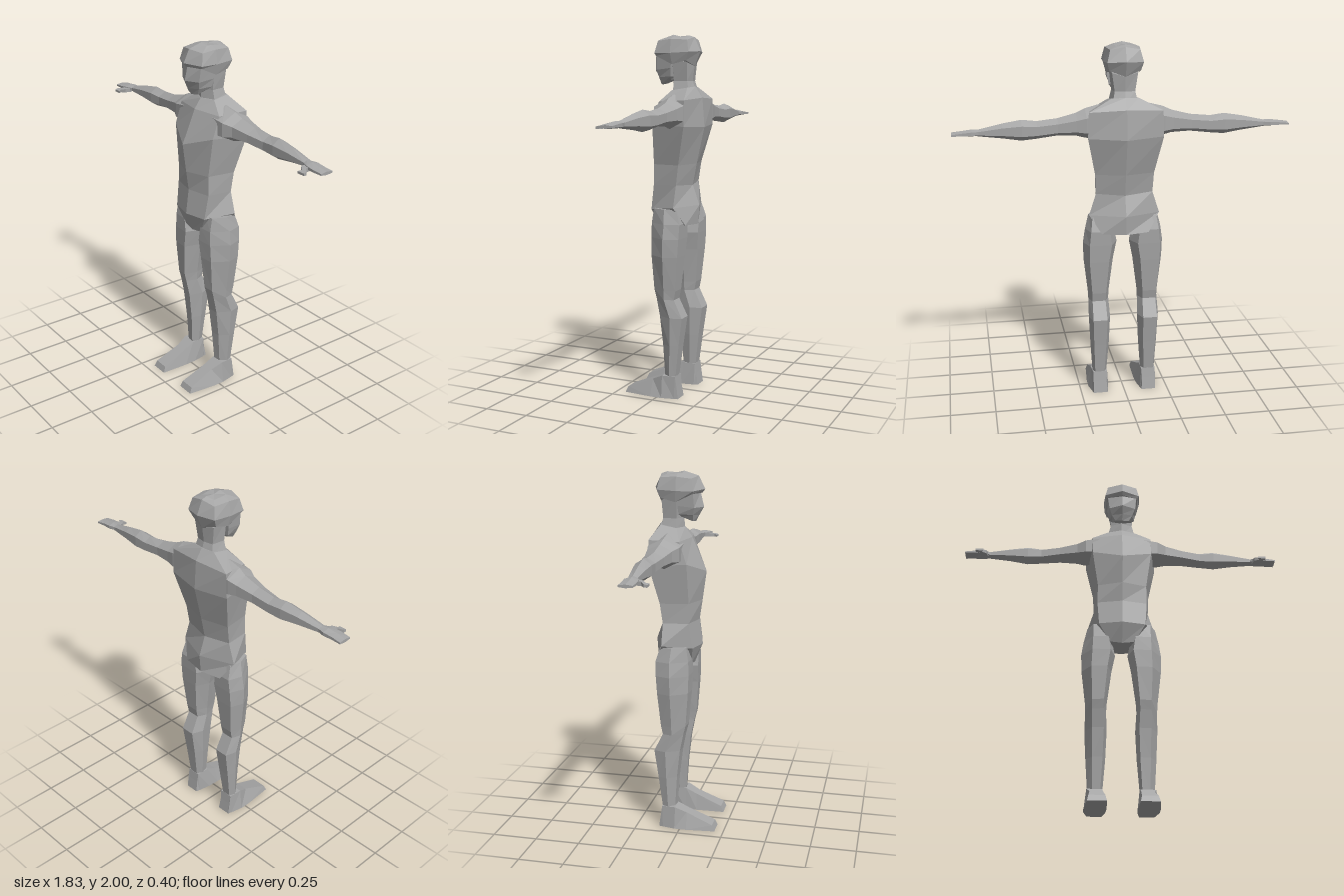
import * as THREE from 'three';

const grey = new THREE.MeshStandardMaterial({ color: 0xa6a6a6, flatShading: true });
grey.name = 'clay grey';

// Skin a list of rings (equal point counts, [x, y, z]) and close both ends; faces always point outward
function loft(name, rings, mirror = 1) {
  const n = rings[0].length, tris = [];
  const pts = rings.map(r => r.map(p => new THREE.Vector3(p[0] * mirror, p[1], p[2])));
  const mid = r => r.reduce((s, p) => s.add(p), new THREE.Vector3()).divideScalar(n);
  for (let i = 0; i < pts.length - 1; i++)
    for (let j = 0; j < n; j++) {
      const k = (j + 1) % n, a = pts[i], b = pts[i + 1];
      tris.push([a[j], a[k], b[k]], [a[j], b[k], b[j]]);
    }
  const first = pts[0], last = pts[pts.length - 1], c0 = mid(first), c1 = mid(last);
  for (let j = 0; j < n; j++) {
    const k = (j + 1) % n;
    tris.push([first[k], first[j], c0], [last[j], last[k], c1]);
  }
  const volume = tris.reduce((s, t) => s + t[0].dot(t[1].clone().cross(t[2])), 0);
  if (volume < 0) tris.forEach(t => t.reverse());
  const geo = new THREE.BufferGeometry().setFromPoints(tris.flat());
  geo.computeVertexNormals();
  const mesh = new THREE.Mesh(geo, grey);
  mesh.name = name;
  return mesh;
}

// Half outline from front centre to back centre, mirrored into a full ring
const full = half => [...half, ...half.slice(1, -1).reverse().map(p => [-p[0], p[1], p[2]])];

// Six-sided leg ring: inner and outer x, front and back z
function legRing(y, xi, xo, zf, zb) {
  const w = xo - xi, zm = zf + (zb - zf) * 0.55;
  return [[xi + w * 0.15, y, zf], [xi + w * 0.68, y, zf - 0.005], [xo, y, zm],
    [xi + w * 0.85, y, zb], [xi + w * 0.2, y, zb], [xi, y, zm]];
}

// Six-sided arm ring: top and bottom y, front and back z
function armRing(x, yt, yb, zf, zb) {
  const h = yt - yb, zm = (zf + zb) / 2;
  return [[x, yt, zm], [x, yb + h * 0.72, zf], [x, yb + h * 0.25, zf],
    [x, yb, zm], [x, yb + h * 0.25, zb], [x, yb + h * 0.75, zb]];
}

const box = (y, x0, x1, zf, zb, yb = y) => [[x0, y, zf], [x1, y, zf], [x1, yb, zb], [x0, yb, zb]];

export function createModel() {
  const body = new THREE.Group();
  body.name = 'humanFigure';

  // Torso from pelvis to neck base
  body.add(loft('torso', [
    [[0, 0.94, 0.045], [0.07, 0.95, 0.04], [0.13, 0.97, -0.145], [0, 0.965, -0.165]],
    [[0, 1.05, 0.09], [0.13, 1.05, 0.06], [0.195, 1.07, -0.1], [0, 1.07, -0.172]],
    [[0, 1.19, 0.072], [0.14, 1.19, 0.04], [0.157, 1.19, -0.1], [0, 1.18, -0.132]],
    [[0, 1.3, 0.088], [0.138, 1.3, 0.04], [0.162, 1.3, -0.115], [0, 1.3, -0.155]],
    [[0, 1.46, 0.11], [0.17, 1.52, 0.035], [0.205, 1.51, -0.165], [0, 1.5, -0.2]],
    [[0, 1.645, 0.03], [0.17, 1.64, -0.005], [0.2, 1.65, -0.165], [0, 1.66, -0.187]],
    [[0, 1.7, -0.01], [0.08, 1.7, -0.04], [0.075, 1.715, -0.13], [0, 1.72, -0.145]],
  ].map(full)));

  // Neck
  body.add(loft('neck', [
    [[0, 1.67, -0.01], [0.078, 1.69, -0.045], [0.068, 1.69, -0.135], [0, 1.69, -0.15]],
    [[0, 1.75, -0.015], [0.062, 1.75, -0.045], [0.055, 1.75, -0.12], [0, 1.75, -0.13]],
    [[0, 1.87, -0.015], [0.075, 1.87, -0.04], [0.07, 1.85, -0.125], [0, 1.83, -0.14]],
  ].map(full)));

  // Face: chin, jaw, nose level, brow
  body.add(loft('face', [
    [[0, 1.73, 0.05], [0.04, 1.735, 0.04], [0.055, 1.76, -0.02], [0, 1.755, -0.025]],
    [[0, 1.765, 0.068], [0.06, 1.77, 0.045], [0.073, 1.775, -0.03], [0, 1.77, -0.03]],
    [[0, 1.81, 0.094], [0.075, 1.81, 0.055], [0.083, 1.82, -0.035], [0, 1.82, -0.035]],
    [[0, 1.89, 0.075], [0.085, 1.89, 0.05], [0.09, 1.88, -0.04], [0, 1.88, -0.04]],
  ].map(full)));

  // Skull cap
  body.add(loft('skull', [
    [[0, 1.885, 0.085], [0.09, 1.885, 0.05], [0.09, 1.84, -0.045], [0.085, 1.86, -0.125], [0, 1.83, -0.142]],
    [[0, 1.905, 0.1], [0.1, 1.9, 0.055], [0.106, 1.9, -0.04], [0.097, 1.905, -0.145], [0, 1.91, -0.175]],
    [[0, 1.975, 0.065], [0.085, 1.965, 0.04], [0.092, 1.975, -0.04], [0.08, 1.97, -0.13], [0, 1.985, -0.14]],
    [[0, 2, -0.015], [0.045, 1.99, -0.015], [0.05, 1.99, -0.04], [0.045, 1.985, -0.1], [0, 1.995, -0.11]],
  ].map(full)));

  for (const [side, s] of [['left', 1], ['right', -1]]) {
    // Leg: hip, thigh, knee, calf, ankle
    body.add(loft(side + 'Leg', [
      legRing(1.06, 0.09, 0.193, 0.035, -0.11),
      legRing(0.98, 0.05, 0.213, 0.048, -0.135),
      legRing(0.9, 0.035, 0.225, 0.05, -0.132),
      legRing(0.8, 0.055, 0.222, 0.047, -0.125),
      legRing(0.61, 0.08, 0.2, 0.033, -0.108),
      legRing(0.56, 0.083, 0.197, 0.02, -0.098),
      legRing(0.46, 0.078, 0.2, 0, -0.147),
      legRing(0.3, 0.085, 0.192, -0.018, -0.125),
      legRing(0.11, 0.1, 0.18, -0.03, -0.102),
    ], s));

    // Foot: heel block and sloping toe
    body.add(loft(side + 'Foot', [
      [[0.1, 0, -0.123], [0.18, 0, -0.123], [0.175, 0.07, -0.112], [0.105, 0.07, -0.112]],
      [[0.095, 0, -0.1], [0.185, 0, -0.1], [0.18, 0.125, -0.105], [0.1, 0.125, -0.105]],
      [[0.083, 0, -0.03], [0.2, 0, -0.03], [0.185, 0.125, -0.028], [0.1, 0.125, -0.028]],
      [[0.08, 0, 0.04], [0.2, 0, 0.04], [0.17, 0.095, 0.035], [0.1, 0.095, 0.035]],
      [[0.085, 0, 0.2], [0.185, 0, 0.2], [0.178, 0.033, 0.185], [0.092, 0.033, 0.185]],
    ], s));

    // Arm: shoulder, upper arm, elbow, wrist
    body.add(loft(side + 'Arm', [
      armRing(0.13, 1.68, 1.49, 0.01, -0.165),
      armRing(0.21, 1.66, 1.5, 0.005, -0.165),
      armRing(0.26, 1.638, 1.515, -0.02, -0.155),
      armRing(0.36, 1.613, 1.52, -0.04, -0.142),
      armRing(0.47, 1.603, 1.508, -0.055, -0.14),
      armRing(0.55, 1.612, 1.5, -0.052, -0.138),
      armRing(0.65, 1.595, 1.515, -0.057, -0.125),
      armRing(0.78, 1.565, 1.53, -0.063, -0.108),
    ], s));

    // Flat hand and thumb
    body.add(loft(side + 'Hand', [
      armRing(0.77, 1.566, 1.532, -0.062, -0.108),
      armRing(0.81, 1.567, 1.53, -0.045, -0.118),
      armRing(0.86, 1.56, 1.532, -0.042, -0.115),
      armRing(0.915, 1.552, 1.534, -0.045, -0.118),
    ], s));
    body.add(loft(side + 'Thumb', [
      box(1.555, 0.78, 0.82, -0.07, -0.07, 1.53),
      box(1.55, 0.79, 0.825, -0.03, -0.03, 1.53),
      box(1.545, 0.815, 0.85, -0.012, -0.012, 1.528),
      box(1.54, 0.805, 0.85, 0.005, 0.005, 1.528),
    ].map((r) => [r[0], r[1], r[2], r[3]]), s));
  }
  return body;
}
